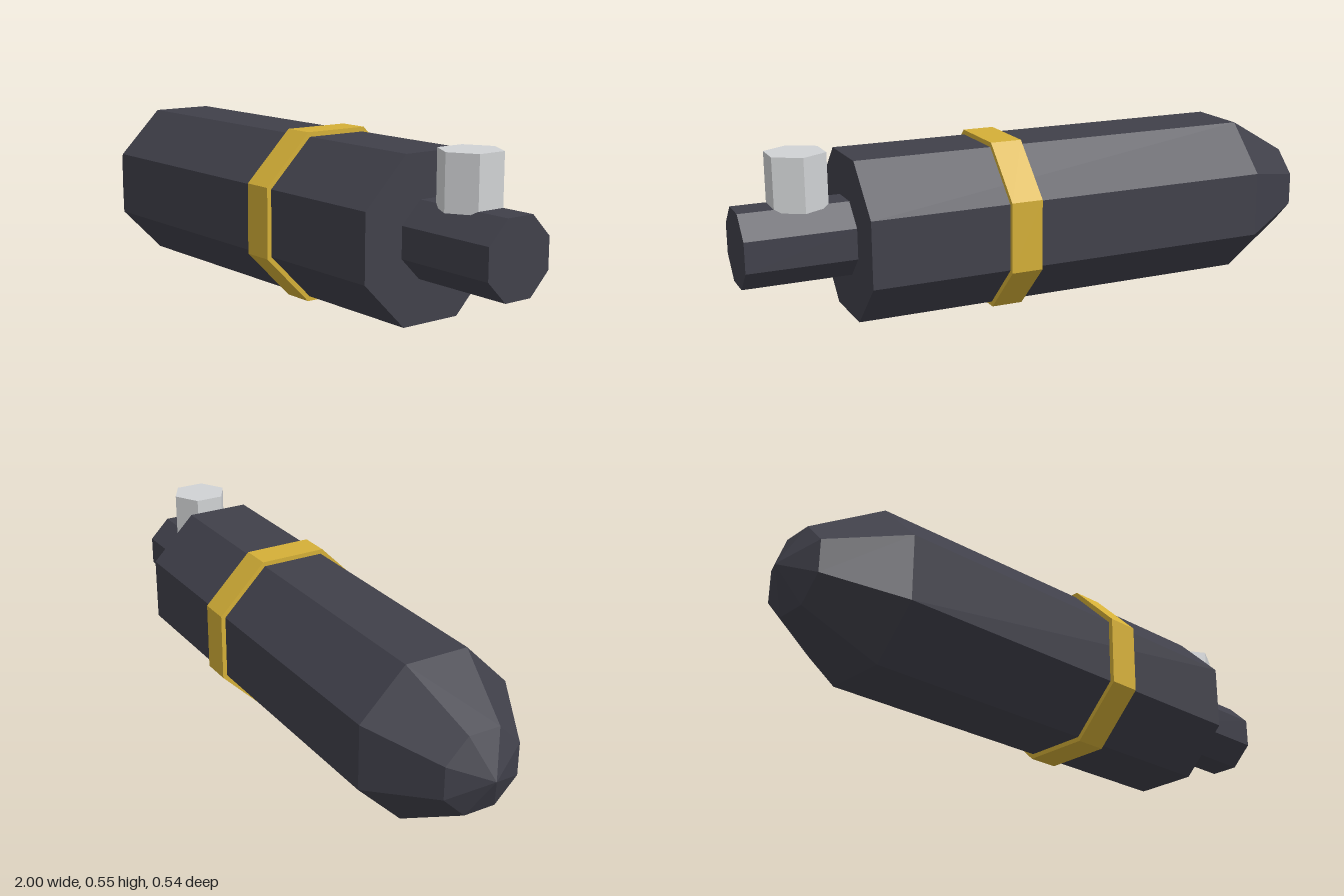
import * as THREE from 'three';

const CENTRE_Y = 0.271;
const APOTHEM = Math.cos(Math.PI / 8);

const darkMetal = new THREE.MeshStandardMaterial({ color: 0x40404a });
const gold = new THREE.MeshStandardMaterial({ color: 0xd4af37 });
const silver = new THREE.MeshStandardMaterial({ color: 0xd0d2d4 });
darkMetal.name = 'dark metal';
gold.name = 'gold';
silver.name = 'silver';

// Gives every face its own normal for a faceted look
function faceted(geometry) {
  const flat = geometry.toNonIndexed();
  flat.computeVertexNormals();
  return flat;
}

// Octagonal solid along x from [x, half height] pairs, with flats facing up and sideways
function octagonal(name, profile, material) {
  const points = profile.map(([x, half]) => new THREE.Vector2(half / APOTHEM, x));
  const geometry = new THREE.LatheGeometry(points, 8, Math.PI / 8);
  geometry.rotateZ(-Math.PI / 2);
  const mesh = new THREE.Mesh(faceted(geometry), material);
  mesh.name = name;
  mesh.position.y = CENTRE_Y;
  return mesh;
}

export function createModel() {
  const model = new THREE.Group();
  model.name = 'octagonalCapsule';

  // Barrel with tapered nose and pointed tip
  model.add(octagonal('body', [
    [-1, 0], [-0.935, 0.128], [-0.703, 0.256], [0.656, 0.256], [0.656, 0],
  ], darkMetal));

  // Raised band around the barrel
  model.add(octagonal('band', [
    [0.107, 0], [0.107, 0.271], [0.21, 0.271], [0.21, 0],
  ], gold));

  // Narrow rod at the rear
  model.add(octagonal('rod', [
    [0.65, 0], [0.65, 0.118], [1, 0.118], [1, 0],
  ], darkMetal));

  // Hexagonal button standing on the rod
  const button = new THREE.Mesh(
    faceted(new THREE.CylinderGeometry(0.097, 0.097, 0.171, 6)), silver);
  button.name = 'button';
  button.position.set(0.805, 0.4635, 0);
  model.add(button);

  return model;
}
